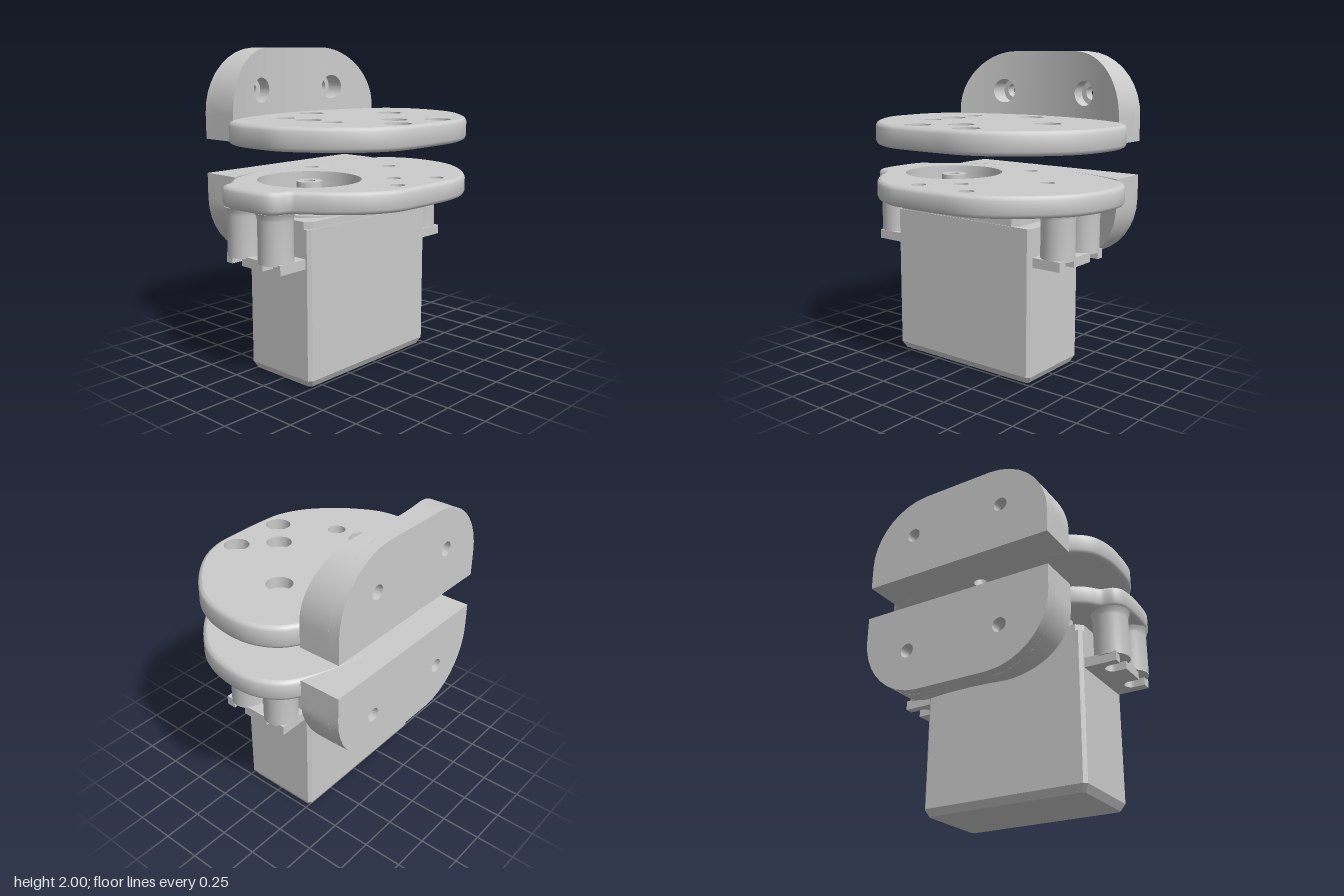
import * as THREE from 'three';
import { mergeGeometries, toCreasedNormals } from 'three/addons/utils/BufferGeometryUtils.js';

const mat = new THREE.MeshStandardMaterial({ color: 0xcccccc, side: THREE.DoubleSide });
const mesh = (name, geo) => {
  const m = new THREE.Mesh(geo, mat);
  m.name = name;
  return m;
};

// Skin over a list of closed rings of [x, y, z] points
function loft(rings, crease = 0.5) {
  const n = rings[0].length, index = [];
  for (let i = 0; i < rings.length - 1; i++)
    for (let j = 0; j < n; j++) {
      const a = i * n + j, b = i * n + (j + 1) % n;
      index.push(a, a + n, b, b, a + n, b + n);
    }
  const g = new THREE.BufferGeometry();
  g.setAttribute('position', new THREE.Float32BufferAttribute(rings.flat(2), 3));
  g.setIndex(index);
  return toCreasedNormals(g, crease);
}
const collapse = ring => {
  const c = [0, 1, 2].map(k => ring.reduce((s, p) => s + p[k], 0) / ring.length);
  return ring.map(() => c);
};
const capped = rings => [collapse(rings[0]), ...rings, collapse(rings.at(-1))];

const polygon = (x, z, r, n) => Array.from({ length: n }, (_, i) =>
  new THREE.Vector2(x + r * Math.cos(i / n * Math.PI * 2), -z + r * Math.sin(i / n * Math.PI * 2)));
function flatShape(outline, holes, y) {
  const s = new THREE.Shape(outline);
  s.holes = holes.map(h => new THREE.Path(h));
  return toCreasedNormals(new THREE.ShapeGeometry(s).rotateX(-Math.PI / 2).translate(0, y, 0), 0.5);
}
const ringAt = (pts, y) => pts.map(p => [p.x, y, -p.y]);

// Rounded-edge plate; each hole is [x, z, top radius, bottom radius, bottom sides]
function plateGeometry(points, bot, top, holes) {
  const curve = new THREE.CatmullRomCurve3(points.map(([x, z]) => new THREE.Vector3(x, -z, 0)), true);
  const pts = curve.getPoints(160).slice(0, -1), n = pts.length;
  const inset = d => pts.map((p, i) => {
    const a = pts[(i + n - 1) % n], b = pts[(i + 1) % n];
    const t = new THREE.Vector2(b.x - a.x, b.y - a.y).normalize();
    return new THREE.Vector2(p.x - t.y * d, p.y + t.x * d);
  });
  const edge = [[0.025, 0], [0.008, 0.008], [0, 0.025]];
  const rings = [
    ...edge.map(([d, h]) => ringAt(inset(d), bot + h)),
    ...edge.toReversed().map(([d, h]) => ringAt(inset(d), top - h))];
  const upper = holes.map(([x, z, r]) => polygon(x, z, r, 40));
  const lower = holes.map(([x, z, , r, sides = 40]) => polygon(x, z, r, sides));
  const parts = [loft(rings, 1), flatShape(inset(0.025), upper, top), flatShape(inset(0.025), lower, bot)];
  const mid = (bot + top) / 2;
  holes.forEach(([, , rt, rb], i) => {
    parts.push(loft([ringAt(lower[i], bot), ringAt(lower[i], mid)]), loft([ringAt(upper[i], mid), ringAt(upper[i], top)]));
    if (rt > rb) parts.push(flatShape(upper[i], [lower[i]], mid));
    if (rb > rt) parts.push(flatShape(lower[i], [upper[i]], mid));
  });
  return mergeGeometries(parts.map(g => { g.deleteAttribute('uv'); return g; }));
}

// Upright bracket: D-shaped from the side, concave on its inner face, two counterbored holes
function bracketGeometry() {
  const zc = -0.045, half = 0.645, r = 0.41, base = 1.43, holeY = 1.73, holeR = 0.08, holeZ = [-0.37, 0.28];
  const height = z => 1.59 + r * Math.sqrt(Math.max(0, 1 - (Math.max(0, Math.abs(z - zc) - half + r) / r) ** 2));
  const inner = z => -0.53 + 0.13 * ((z - zc) / half) ** 2;
  const stations = (a, b) => Array.from({ length: 25 }, (_, i) => (a + b) / 2 - (b - a) / 2 * Math.cos(i / 24 * Math.PI));
  const strip = (a, b, lo, hi) => {
    const rings = stations(a, b).map(z => [
      [-0.6, lo(z), z], [inner(z), lo(z), z], [inner(z), hi(z), z], [-0.6, hi(z), z]]);
    return loft(capped(rings));
  };
  const bottom = () => base, parts = [];
  const cuts = [zc - half, ...holeZ.flatMap(z => [z - holeR, z + holeR]), zc + half];
  for (let i = 0; i < 5; i++) {
    const a = cuts[i], b = cuts[i + 1];
    if (i % 2 === 0) { parts.push(strip(a, b, bottom, height)); continue; }
    const c = (a + b) / 2, h = z => Math.sqrt(Math.max(0, holeR ** 2 - (z - c) ** 2));
    parts.push(strip(a, b, bottom, z => holeY - h(z)), strip(a, b, z => holeY + h(z), height));
  }
  // Flat back layer with the narrower screw holes
  const s = new THREE.Shape([
    new THREE.Vector2(-zc + half, base), ...stations(zc - half, zc + half).map(z => new THREE.Vector2(-z, height(z))),
    new THREE.Vector2(-zc - half, base)]);
  s.holes = holeZ.map(z => new THREE.Path().absarc(-z, holeY, 0.045, 0, Math.PI * 2, true));
  const back = new THREE.ExtrudeGeometry(s, { depth: 0.07, bevelEnabled: false, curveSegments: 24 });
  parts.push(toCreasedNormals(back.rotateY(Math.PI / 2).translate(-0.67, 0, 0), 0.5));
  return mergeGeometries(parts.map(g => { g.deleteAttribute('uv'); return g; }));
}

// Rectangle ring with small cut corners
const rectRing = (x0, x1, z0, z1, y, c) => [
  [x0 + c, y, z1], [x1 - c, y, z1], [x1, y, z1 - c], [x1, y, z0 + c],
  [x1 - c, y, z0], [x0 + c, y, z0], [x0, y, z0 + c], [x0, y, z1 - c]];
function block(name, x0, x1, y0, y1, z0, z1, c = 0.015) {
  return mesh(name, loft(capped([rectRing(x0, x1, z0, z1, y0, c), rectRing(x0, x1, z0, z1, y1, c)])));
}
const lathe = (name, pts, x, z) => mesh(name, toCreasedNormals(
  new THREE.LatheGeometry(pts.map(p => new THREE.Vector2(...p)), 40).translate(x, 0, z), 0.5));

export function createModel() {
  const model = new THREE.Group();
  const rear = [[-0.4, -0.69], [-0.32, -0.79], [-0.17, -0.86], [0.05, -0.86], [0.24, -0.8], [0.41, -0.67],
    [0.57, -0.48], [0.645, -0.3], [0.66, -0.1]];
  const side = [[0.66, 0.15], [0.645, 0.28], [0.57, 0.44], [0.42, 0.6]];
  const left = [[-0.4, 0.6], [-0.5, 0.35], [-0.56, -0.045], [-0.5, -0.44]];
  const front = [[0.29, 0.69], [0.15, 0.755], [0, 0.77], [-0.18, 0.76], [-0.31, 0.71]];
  const tab = [[0.29, 0.69], [0.235, 0.73], [0.205, 0.81], [0.15, 0.85], [-0.2, 0.85], [-0.255, 0.81], [-0.28, 0.74], [-0.34, 0.685]];
  // Outlines run counter-clockwise seen from above
  const outline = nose => [...rear, ...side, ...nose, ...left].reverse();

  // Upper and lower plates with their screw holes and nut pockets
  const screws = [[0.345, -0.045], [-0.37, -0.045], [-0.015, -0.43], [0.525, -0.24], [0.525, 0.14]];
  model.add(mesh('upperPlate', plateGeometry(outline(front), 1.43, 1.57, [
    ...[...screws, [-0.015, 0.33]].map(([x, z]) => [x, z, 0.08, 0.045]),
    [-0.22, 0.33, 0.057, 0.057], [0.185, 0.33, 0.057, 0.057]])));
  model.add(mesh('lowerPlate', plateGeometry(outline(tab), 1.08, 1.21, [
    ...screws.map(([x, z]) => [x, z, 0.045, 0.085, 6]), [-0.015, 0.33, 0.32, 0.32]])));

  // Brackets: the lower one is the upper turned over
  const bracket = bracketGeometry();
  model.add(mesh('upperBracket', bracket));
  const lowerBracket = mesh('lowerBracket', bracket);
  lowerBracket.rotation.x = Math.PI;
  lowerBracket.position.set(0, 2.64, -0.09);
  model.add(lowerBracket);

  // Servo motor body with chamfered foot, lid and output shaft
  model.add(mesh('servoBody', loft(capped([
    rectRing(-0.255, 0.225, -0.465, 0.575, 0, 0.015), rectRing(-0.28, 0.25, -0.49, 0.6, 0.045, 0.02),
    rectRing(-0.28, 0.25, -0.49, 0.6, 0.97, 0.02)]))));
  model.add(block('servoLid', -0.275, 0.245, 0.97, 1.015, -0.39, 0.6, 0.04));
  model.add(block('servoLidStep', -0.22, 0.19, 1.015, 1.03, -0.32, 0.06, 0.04));
  model.add(block('lidRib', -0.1, 0.07, 1.03, 1.045, -0.02, 0.06, 0.03));
  model.add(lathe('outputShaft', [[0, 1.0], [0.24, 1.0], [0.24, 1.03], [0.22, 1.04], [0.17, 1.04], [0.17, 1.065],
    [0.14, 1.065], [0.14, 1.085], [0.08, 1.085], [0.08, 1.2], [0.035, 1.2], [0.035, 1.1], [0, 1.1]], -0.015, 0.33));

  // Slotted servo ears and the screw posts that hold them, front and back
  for (const [end, wall, tip, post] of [['front', 0.58, 0.8, 0.735], ['back', -0.47, -0.685, -0.6]]) {
    const dir = Math.sign(tip), reach = Math.abs(tip - wall), slot = Math.abs(post - wall);
    const s = new THREE.Shape();
    s.moveTo(-0.25, 0).lineTo(0.22, 0).lineTo(0.22, reach);
    for (const x of [0.115, -0.155])
      s.lineTo(x + 0.045, reach).lineTo(x + 0.045, slot).absarc(x, slot, 0.045, 0, -Math.PI, true).lineTo(x - 0.045, reach);
    s.lineTo(-0.25, reach);
    const ear = new THREE.ExtrudeGeometry(s, { depth: 0.06, bevelEnabled: false });
    ear.rotateX(dir * Math.PI / 2).translate(0, dir > 0 ? 0.795 : 0.735, wall);
    model.add(mesh(end + 'Ear', toCreasedNormals(ear, 0.5)));
    model.add(block(end + 'EarRib', -0.035, 0.005, 0.79, 0.825, Math.min(wall, post), Math.max(wall, post), 0.004));
    for (const x of [-0.155, 0.115])
      model.add(lathe(end + 'Post', [[0, 0.95], [0.035, 0.95], [0.035, 0.785], [0.105, 0.785], [0.105, 1.04],
        [0.108, 1.06], [0.12, 1.085]], x, post));
  }
  return model;
}
